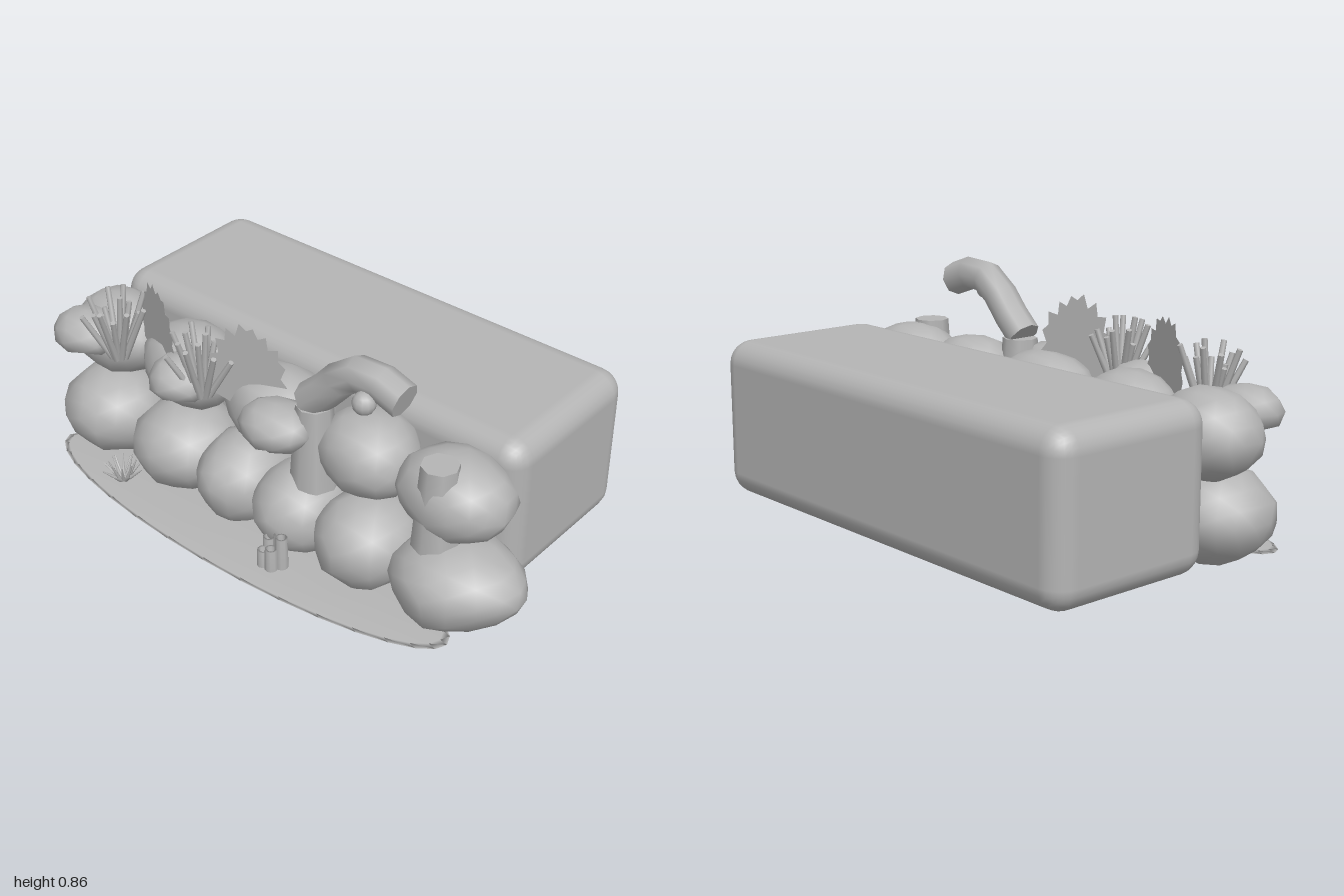
import * as THREE from 'three';
import { mergeVertices } from 'three/addons/utils/BufferGeometryUtils.js';
import { RoundedBoxGeometry } from 'three/addons/geometries/RoundedBoxGeometry.js';

const stone = new THREE.MeshStandardMaterial({ color: 0xb4b4b4, side: THREE.DoubleSide });
stone.name = 'stone grey';

function seeded(seed) {
  let s = seed;
  return () => (s = (s * 16807) % 2147483647) / 2147483647;
}

export function createModel() {
  const model = new THREE.Group();
  model.name = 'coralReef';
  const add = (name, geometry, x = 0, y = 0, z = 0, parent = model) => {
    const mesh = new THREE.Mesh(geometry, stone);
    mesh.name = name;
    mesh.position.set(x, y, z);
    parent.add(mesh);
    return mesh;
  };

  // Lumpy ellipsoid; 'floor' flattens the underside at a share of the half height
  const boulder = (rx, ry, rz, seed, floor = -2, detail = 2) => {
    let g = new THREE.IcosahedronGeometry(1, detail);
    g.deleteAttribute('uv');
    g.deleteAttribute('normal');
    g = mergeVertices(g, 1e-3);
    const rand = seeded(seed * 7919 + 13);
    const p = g.attributes.position;
    for (let i = 0; i < p.count; i++) {
      const k = 0.96 + rand() * 0.08;
      p.setXYZ(i, p.getX(i) * k * rx, Math.max(p.getY(i) * k, floor) * ry, p.getZ(i) * k * rz);
    }
    g.computeVertexNormals();
    return g;
  };

  // Straight stick between two points
  const stick = (name, a, b, rBase, rTip, parent) => {
    const dir = b.clone().sub(a);
    const mesh = add(name, new THREE.CylinderGeometry(rTip, rBase, dir.length(), 6), 0, 0, 0, parent);
    mesh.position.copy(a).addScaledVector(dir, 0.5);
    mesh.quaternion.setFromUnitVectors(new THREE.Vector3(0, 1, 0), dir.normalize());
  };

  // Big rounded block at the back
  add('backBlock', new RoundedBoxGeometry(1.78, 0.565, 0.645, 3, 0.085), -0.05, 0.318, -0.265);

  // Two rows of boulders: x, half width
  [[-0.79, 0.2], [-0.43, 0.2], [-0.14, 0.17], [0.12, 0.17], [0.4, 0.18]].forEach(([x, r], i) =>
    add('lowerBoulder', boulder(r, 0.165, 0.195, i + 1), x, 0.168, 0.245));
  const endRock = boulder(0.225, 0.16, 0.195, 6);
  const p = endRock.attributes.position;
  for (let i = 0; i < p.count; i++) {
    // draw the outer end into a blunt point
    const t = Math.max(0, p.getX(i) / 0.225);
    p.setXYZ(i, p.getX(i) * (1 + 0.1 * t), p.getY(i) * (1 - 0.25 * t * t) + 0.02 * t, p.getZ(i) * (1 - 0.25 * t * t) - 0.02 * t);
  }
  endRock.computeVertexNormals();
  add('lowerEndBoulder', endRock, 0.755, 0.17, 0.24);
  [[-0.815, 0.19], [-0.46, 0.2], [-0.05, 0.21], [0.34, 0.18], [0.69, 0.205]].forEach(([x, r], i) =>
    add('upperBoulder', boulder(r, 0.15, 0.165, i + 11), x, 0.447, 0.17));

  // Flat-bottomed knobs on the upper row
  [[-0.835, 0.13], [-0.365, 0.115], [0.065, 0.135]].forEach(([x, r], i) =>
    add('coralKnob', boulder(r, 0.085, 0.115, i + 21, -0.6, 1), x, 0.508, 0.325));

  // Tapered pillars
  for (const x of [0.17, 0.68])
    add('pillar', new THREE.CylinderGeometry(0.063, 0.085, 0.31, 8), x, 0.445, 0.252);

  // Bent eel-like tube with a closed snout and an eye
  const path = new THREE.CatmullRomCurve3([
    [0.15, 0.61], [0.25, 0.705], [0.31, 0.775], [0.41, 0.807], [0.535, 0.772],
  ].map(([x, y]) => new THREE.Vector3(x, y, 0.252)));
  add('bentBody', new THREE.TubeGeometry(path, 5, 0.061, 8));
  for (const t of [0, 1]) {
    const end = path.getPointAt(t);
    const cap = add('bodyEnd', new THREE.CircleGeometry(0.061, 8), end.x, end.y, end.z);
    cap.lookAt(end.clone().addScaledVector(path.getTangentAt(t), t ? 1 : -1));
  }
  add('eye', new THREE.SphereGeometry(0.04, 12, 8), 0.42, 0.743, 0.307);

  // Thin jagged sea fans
  const fan = (x, turn, height, seed) => {
    const rand = seeded(seed * 991);
    const shape = new THREE.Shape();
    shape.moveTo(0, -0.12);
    const n = 22;
    for (let i = 0; i <= n; i++) {
      const a = -0.3 + (Math.PI + 0.6) * i / n;
      const k = (i % 2 ? 0.88 : 1) * (0.94 + rand() * 0.1);
      shape.lineTo(Math.cos(a) * 0.145 * k, Math.sin(a) * height * k);
    }
    const mesh = add('seaFan', new THREE.ShapeGeometry(shape), x, 0.57, 0.268);
    mesh.rotation.y = turn;
  };
  fan(-0.53, -0.38, 0.21, 3);
  fan(-0.11, 0.34, 0.22, 8);

  // Bunches of branching coral
  [-0.68, -0.27].forEach((x, b) => {
    const bunch = new THREE.Group();
    bunch.name = 'branchCoral';
    model.add(bunch);
    const rand = seeded(501 + b * 77);
    for (let i = 0; i < 15; i++) {
      const a = i * 2.4, r = 0.025 + 0.095 * Math.sqrt(i / 14);
      const base = new THREE.Vector3(x + Math.cos(a) * r * 0.2, 0.46 + b * 0.02, 0.32 + Math.sin(a) * r * 0.2);
      const tip = new THREE.Vector3(x + Math.cos(a) * r, 0.71 + b * 0.02 - rand() * 0.09, 0.32 + Math.sin(a) * r);
      stick('branch', base, tip, 0.013, 0.01, bunch);
    }
  });

  // Thin sand bed
  const sand = add('sandBed', new THREE.LatheGeometry(
    [[0, 0.035], [1, 0.035], [0.97, 0.042], [0.6, 0.05], [0, 0.054]].map(([x, y]) => new THREE.Vector2(x, y)), 32),
    -0.05, 0, 0.38);
  sand.scale.set(0.88, 1, 0.2);

  // Spiky tuft on the sand
  const tuft = new THREE.Group();
  tuft.name = 'spikyTuft';
  model.add(tuft);
  for (let i = 0; i < 16; i++) {
    const a = i * Math.PI / 8, r = i % 2 ? 0.075 : 0.05;
    stick('spike', new THREE.Vector3(-0.57 + Math.cos(a) * 0.015, 0.045, 0.445 + Math.sin(a) * 0.015),
      new THREE.Vector3(-0.57 + Math.cos(a) * r, i % 2 ? 0.1 : 0.125, 0.445 + Math.sin(a) * r), 0.008, 0.002, tuft);
  }

  // Cluster of open tube sponges: x, z, height
  [[0.13, 0.44, 0.1], [0.165, 0.425, 0.12], [0.19, 0.445, 0.13], [0.135, 0.475, 0.07], [0.17, 0.475, 0.09]]
    .forEach(([x, z, h]) => add('tubeSponge', new THREE.LatheGeometry(
      [[0.023, 0], [0.021, h], [0.014, h], [0.012, h * 0.3], [0, h * 0.3]].map(([r, y]) => new THREE.Vector2(r, y)), 10),
      x, 0.043, z));

  return model;
}
